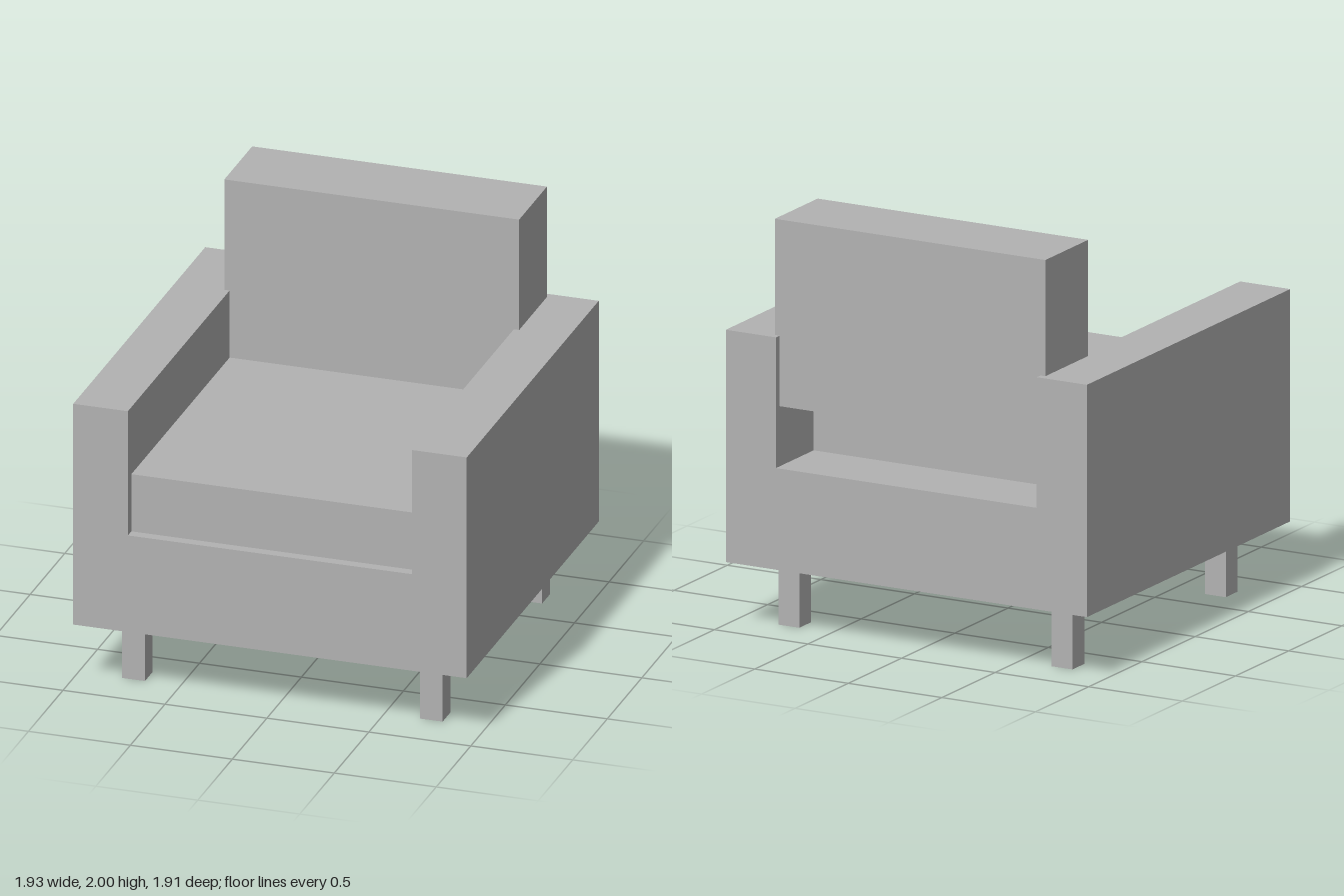
import * as THREE from 'three';

export function createModel() {
  const group = new THREE.Group();
  const grey = new THREE.MeshStandardMaterial({ color: 0xb2b2b2 });
  grey.name = 'grey';

  const add = (name, geometry) => {
    const mesh = new THREE.Mesh(geometry, grey);
    mesh.name = name;
    group.add(mesh);
  };

  // Box given by its lower and upper limits on each axis
  const addBox = (name, [x0, x1], [y0, y1], [z0, z1]) => {
    const geometry = new THREE.BoxGeometry(x1 - x0, y1 - y0, z1 - z0);
    geometry.translate((x0 + x1) / 2, (y0 + y1) / 2, (z0 + z1) / 2);
    add(name, geometry);
  };

  // Frame: base and both armrests as one U-shaped profile, front to back
  const outer = 0.965, inner = 0.697, bottom = 0.32, floor = 0.81, armTop = 1.44, depth = 1.91;
  const profile = new THREE.Shape([
    [-outer, bottom], [outer, bottom], [outer, armTop], [inner, armTop],
    [inner, floor], [-inner, floor], [-inner, armTop], [-outer, armTop],
  ].map(([x, y]) => new THREE.Vector2(x, y)));
  const frame = new THREE.ExtrudeGeometry(profile, { depth, bevelEnabled: false });
  frame.translate(0, 0, -depth / 2);
  add('frame', frame);

  // Seat cushion, with an open gap behind it
  addBox('seatCushion', [-inner, inner], [floor, 1.1], [-0.6, 0.905]);

  // Back cushion rests on the seat and presses slightly into the arms
  addBox('backCushion', [-0.723, 0.723], [1.1, 2], [-0.92, -0.517]);

  // Square legs
  for (const x of [-0.73, 0.73]) {
    for (const z of [-0.72, 0.72]) {
      const name = (z > 0 ? 'front' : 'back') + (x > 0 ? 'Left' : 'Right') + 'Leg';
      addBox(name, [x - 0.056, x + 0.056], [0, bottom], [z - 0.056, z + 0.056]);
    }
  }

  return group;
}
